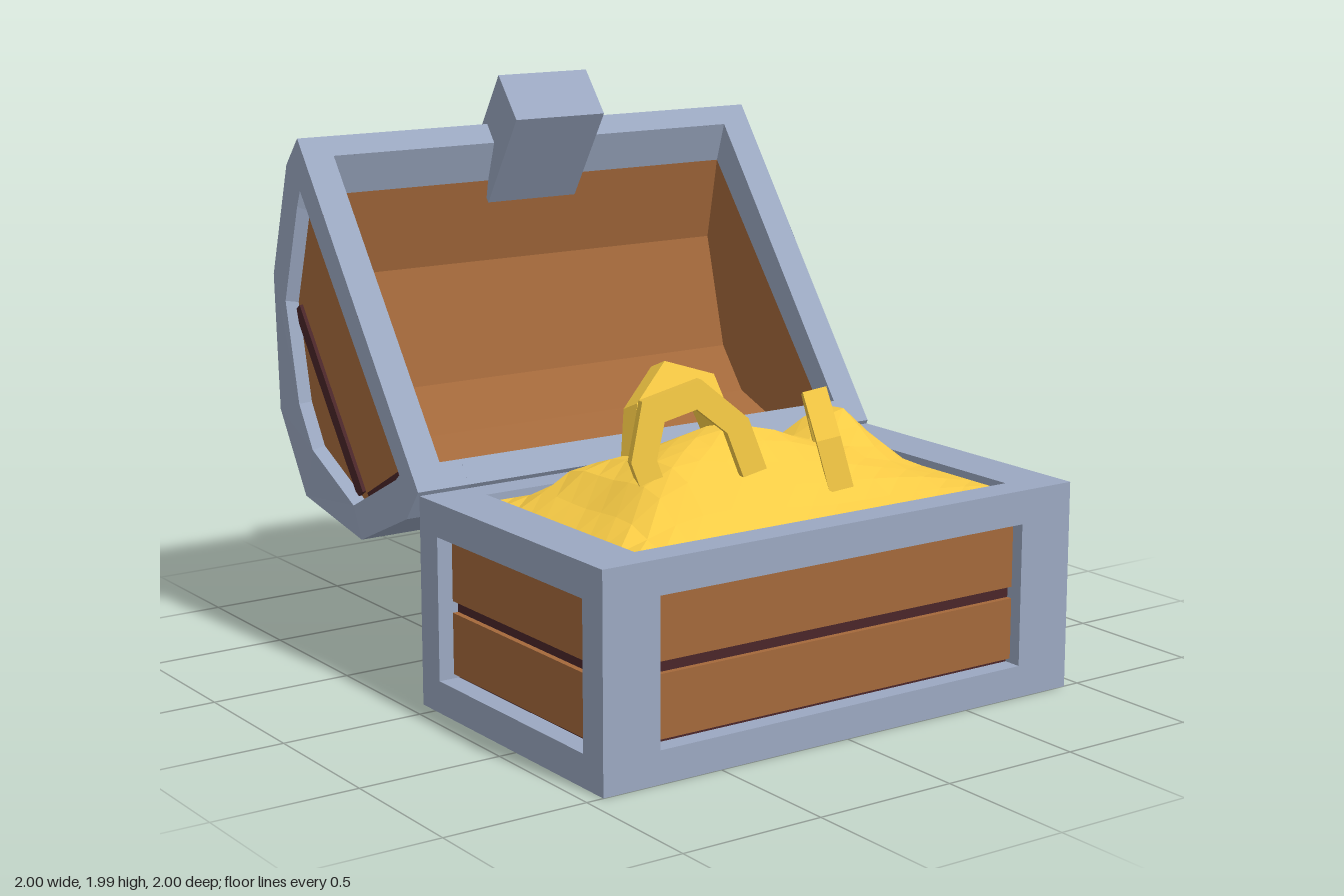
import * as THREE from 'three';

const mat = (color) => new THREE.MeshStandardMaterial({ color, flatShading: true, side: THREE.DoubleSide });
const metal = mat(0x9ba8c1), wood = mat(0xa4693b), darkWood = mat(0x4a2629), gold = mat(0xf8cb45), black = mat(0x101010);

function add(parent, name, geometry, material) {
  const mesh = new THREE.Mesh(geometry, material);
  mesh.name = name;
  parent.add(mesh);
  return mesh;
}

// Box given by two opposite corners
function box(parent, name, material, x0, x1, y0, y1, z0, z1) {
  const mesh = add(parent, name, new THREE.BoxGeometry(Math.abs(x1 - x0), y1 - y0, Math.abs(z1 - z0)), material);
  mesh.position.set((x0 + x1) / 2, (y0 + y1) / 2, (z0 + z1) / 2);
  return mesh;
}

// Skin through rows of [x, y, z] points
function loft(rows, closed = false) {
  const n = rows[0].length, index = [];
  for (let r = 0; r < rows.length - 1; r++) {
    for (let i = 0; i < (closed ? n : n - 1); i++) {
      const a = r * n + i, b = r * n + (i + 1) % n;
      index.push(a, b, a + n, b, b + n, a + n);
    }
  }
  const g = new THREE.BufferGeometry();
  g.setAttribute('position', new THREE.Float32BufferAttribute(rows.flat(2), 3));
  g.setIndex(index);
  g.computeVertexNormals();
  return g;
}

const at = (profile, x) => profile.map(([z, y]) => [typeof x === 'function' ? x(z, y) : x, y, z]);
const centroid = (p) => [0, 1].map((k) => p.reduce((s, q) => s + q[k], 0) / p.length);
const mix = (a, b, t) => [a[0] + (b[0] - a[0]) * t, a[1] + (b[1] - a[1]) * t];
const scaled = (profile, c, k) => profile.map((p) => mix(c, p, k));

function makeBase() {
  const base = new THREE.Group();
  base.name = 'chestBase';
  box(base, 'bottomPlate', metal, -0.94, 0.94, 0, 0.11, -0.08, 1);
  for (const s of [-1, 1]) {
    // corner posts and upper side rail
    box(base, 'cornerPost', metal, s * 0.73, s * 0.94, 0.11, 0.6, 0.89, 1);
    box(base, 'cornerPost', metal, s * 0.73, s * 0.94, 0.11, 0.6, -0.08, 0.03);
    box(base, 'sideRail', metal, s * 0.75, s * 0.94, 0.6, 0.715, 0.03, 0.89);
    // side wall planks
    box(base, 'sideBacking', darkWood, s * 0.75, s * 0.865, 0.11, 0.6, 0.03, 0.89);
    for (const y of [0.125, 0.375]) box(base, 'sidePlank', wood, s * 0.8, s * 0.885, y, y + 0.21, 0.03, 0.89);
  }
  for (const [outer, inner, back, face] of [[1, 0.89, 0.935, 0.955], [-0.08, 0.03, -0.015, -0.035]]) {
    box(base, 'longRail', metal, -0.94, 0.94, 0.6, 0.715, outer, inner);
    box(base, 'longBacking', darkWood, -0.73, 0.73, 0.11, 0.6, inner, back);
    for (const y of [0.125, 0.375]) box(base, 'longPlank', wood, -0.73, 0.73, y, y + 0.21, inner, face);
  }
  return base;
}

// Lid profiles as [z, y], from the hinge round the back to the free edge
const OUTER = [[-0.08, 0.727], [-0.14, 0.626], [-0.4, 0.503], [-0.765, 0.583], [-0.94, 0.86], [-0.995, 1.33], [-0.93, 1.717], [-0.866, 1.813]];
const WINDOW = [[-0.19, 0.765], [-0.21, 0.745], [-0.455, 0.61], [-0.717, 0.754], [-0.81, 0.9], [-0.914, 1.246], [-0.855, 1.58], [-0.84, 1.636]];
const INSIDE = [[-0.21, 0.755], [-0.42, 0.64], [-0.7, 0.745], [-0.82, 0.9], [-0.925, 1.31], [-0.865, 1.61]];
const BARREL = [[-0.13, 0.68], [-0.43, 0.515], [-0.765, 0.535], [-0.95, 0.87], [-0.998, 1.33], [-0.92, 1.735]];
const MIDDLE = [-0.47, 1.27]; // centre of the lid opening

// The lid ends lean outward with depth behind the opening plane
const endX = (z, y) => {
  const d = -0.81 * (z + 0.08) - 0.586 * (y - 0.727);
  return 0.945 + 0.055 * Math.min(1, d / 0.55);
};

// Barrel bulge: profiles shrink towards the ends
function bulge(profile) {
  const rows = [];
  for (let i = 0; i <= 6; i++) {
    const x = -0.76 + (1.52 * i) / 6;
    rows.push(at(scaled(profile, MIDDLE, 1 - 0.07 * (x / 0.76) ** 2), x));
  }
  return loft(rows);
}

function makeLid() {
  const lid = new THREE.Group();
  lid.name = 'chestLid';

  // opening rim and its inner reveal
  const rect = (x, [z0, y0], [z1, y1]) => [[-x, y0, z0], [x, y0, z0], [x, y1, z1], [-x, y1, z1]];
  add(lid, 'lidRim', loft([
    rect(0.945, OUTER[0], OUTER[7]),
    rect(0.83, [-0.135, 0.803], [-0.82, 1.75]),
    rect(0.83, INSIDE[0], INSIDE.at(-1)),
  ], true), metal);
  for (const p of [[OUTER[0], [-0.135, 0.645], [-0.175, 0.67]], [OUTER[7], [-0.92, 1.725], [-0.875, 1.69]]]) {
    add(lid, 'edgeBar', loft([at(p, -0.78), at(p, 0.78)]), metal);
  }

  // inner lining
  add(lid, 'lining', loft([at(INSIDE, -0.83), at(INSIDE, 0.83)]), wood);

  // bulging planks over a dark backing
  add(lid, 'lidBacking', bulge(scaled(BARREL, MIDDLE, 0.982)), darkWood);
  for (let i = 0; i < BARREL.length - 1; i++) {
    const a = mix(BARREL[i], BARREL[i + 1], 0.11), b = mix(BARREL[i], BARREL[i + 1], 0.89);
    add(lid, 'lidPlank', bulge([mix(MIDDLE, a, 0.97), a, b, mix(MIDDLE, b, 0.97)]), wood);
  }

  for (const s of [-1, 1]) {
    const side = new THREE.Group();
    side.name = s > 0 ? 'leftLidEnd' : 'rightLidEnd';
    const flip = (rows) => rows.map((r) => r.map(([x, y, z]) => [x * s, y, z]));
    const recess = (z, y) => endX(z, y) - 0.045;
    const centre = centroid(WINDOW), panel = scaled(WINDOW, centre, 0.965);
    add(side, 'endBand', loft(flip([at(scaled(OUTER, MIDDLE, 0.88), 0.75), at(OUTER, 0.75), at(OUTER, endX)])), metal);
    add(side, 'endFrame', loft(flip([at(OUTER, endX), at(WINDOW, endX), at(panel, recess)]), true), metal);
    add(side, 'endPanel', loft(flip([at(panel, recess), at(panel.map(() => centre), recess)]), true), wood);
    add(side, 'endLining', loft(flip([at(INSIDE, 0.83), at(INSIDE.map(() => centroid(INSIDE)), 0.83)]), true), wood);
    // dark battens across the panel
    for (const [a, b, w] of [[[-0.22, 0.76], [-0.835, 1.6], 0.03], [[-0.47, 0.64], [-0.895, 1.22], 0.045], [[-0.225, 0.755], [-0.455, 0.63], 0.025]]) {
      const len = Math.hypot(b[0] - a[0], b[1] - a[1]);
      const batten = add(side, 'batten', new THREE.BoxGeometry(0.03, w, len), darkWood);
      const [z, y] = mix(a, b, 0.5);
      batten.position.set(s * (recess(z, y) - 0.004), y, z);
      batten.rotation.x = -Math.atan2(b[1] - a[1], b[0] - a[0]);
    }
    lid.add(side);
  }
  lid.add(makeLock());
  return lid;
}

const shapeOf = (points) => new THREE.Shape(points.map((p) => new THREE.Vector2(...p)));
// Right half of an outline completed by its mirror image
const mirrored = (half) => [...half, ...half.map(([x, y]) => [-x, y]).reverse()];

// Slightly sheared lock block with a dark keyhole on its outer face
function makeLock() {
  const lock = new THREE.Group();
  lock.name = 'lock';
  const place = new THREE.Matrix4().makeBasis(
    new THREE.Vector3(1, 0, 0), new THREE.Vector3(0, -0.847, -0.532), new THREE.Vector3(0, 0.786, -0.62),
  ).setPosition(0, 1.845, -0.668);
  const hole = shapeOf(mirrored([[0.024, 0.06], [0.024, 0.2], [0.07, 0.265], [0.07, 0.29], [0.045, 0.315]]));
  const body = new THREE.BoxGeometry(0.37, 0.372, 0.189).translate(0, 0.186, 0.0945);
  add(lock, 'lockBody', body.applyMatrix4(place), metal);
  add(lock, 'keyhole', new THREE.ShapeGeometry(hole).translate(0, 0, 0.191).applyMatrix4(place), black);
  return lock;
}

function makeTreasure() {
  const treasure = new THREE.Group();
  treasure.name = 'treasure';

  // gently lumpy heap: a few mounds [x, z, radius, height] faded out at the walls
  const mounds = [[-0.1, 0.38, 0.3, 0.18], [-0.4, 0.62, 0.23, 0.15], [0.52, 0.25, 0.2, 0.165], [0.2, 0.5, 0.25, 0.09], [-0.5, 0.25, 0.2, 0.06]];
  const heap = new THREE.PlaneGeometry(1.5, 0.86, 14, 10).rotateX(-Math.PI / 2).translate(0, 0, 0.46);
  const p = heap.attributes.position;
  for (let i = 0; i < p.count; i++) {
    const x = p.getX(i), z = p.getZ(i);
    const fade = Math.min(1, (0.75 - Math.abs(x)) / 0.15) * Math.min(1, (0.43 - Math.abs(z - 0.46)) / 0.13);
    let h = 0.025 + 0.007 * Math.sin(x * 11 + z * 4) + 0.006 * Math.cos(x * 5 - z * 13);
    for (const [mx, mz, r, a] of mounds) h += a * Math.exp(-((x - mx) ** 2 + (z - mz) ** 2) / (r * r));
    p.setY(i, 0.69 + Math.max(0, fade) * h);
  }
  add(treasure, 'goldHeap', heap, gold);

  // faceted gold arches sticking out of the heap
  const arch = shapeOf([
    [0.2, -0.14], [0.2, 0.03], [0.1, 0.2], [-0.1, 0.2], [-0.2, 0.03], [-0.2, -0.14],
    [-0.12, -0.14], [-0.12, 0.01], [-0.055, 0.115], [0.055, 0.115], [0.12, 0.01], [0.12, -0.14],
  ]);
  const ring = new THREE.ExtrudeGeometry(arch, { depth: 0.08, bevelEnabled: false }).translate(0, 0, -0.04);
  for (const [x, y, z, yaw, tilt, roll] of [
    [-0.36, 0.935, 0.64, -0.45, -0.15, 0.33],
    [-0.15, 0.91, 0.28, 0.05, -0.4, -0.35],
    [0.25, 0.84, 0.57, 1.0, -0.25, -0.25],
  ]) {
    const mesh = add(treasure, 'goldArch', ring, gold);
    mesh.position.set(x, y, z);
    mesh.rotation.set(tilt, yaw, roll, 'YXZ');
  }
  return treasure;
}

export function createModel() {
  const model = new THREE.Group();
  model.name = 'treasureChest';
  model.add(makeBase(), makeLid(), makeTreasure());
  return model;
}
